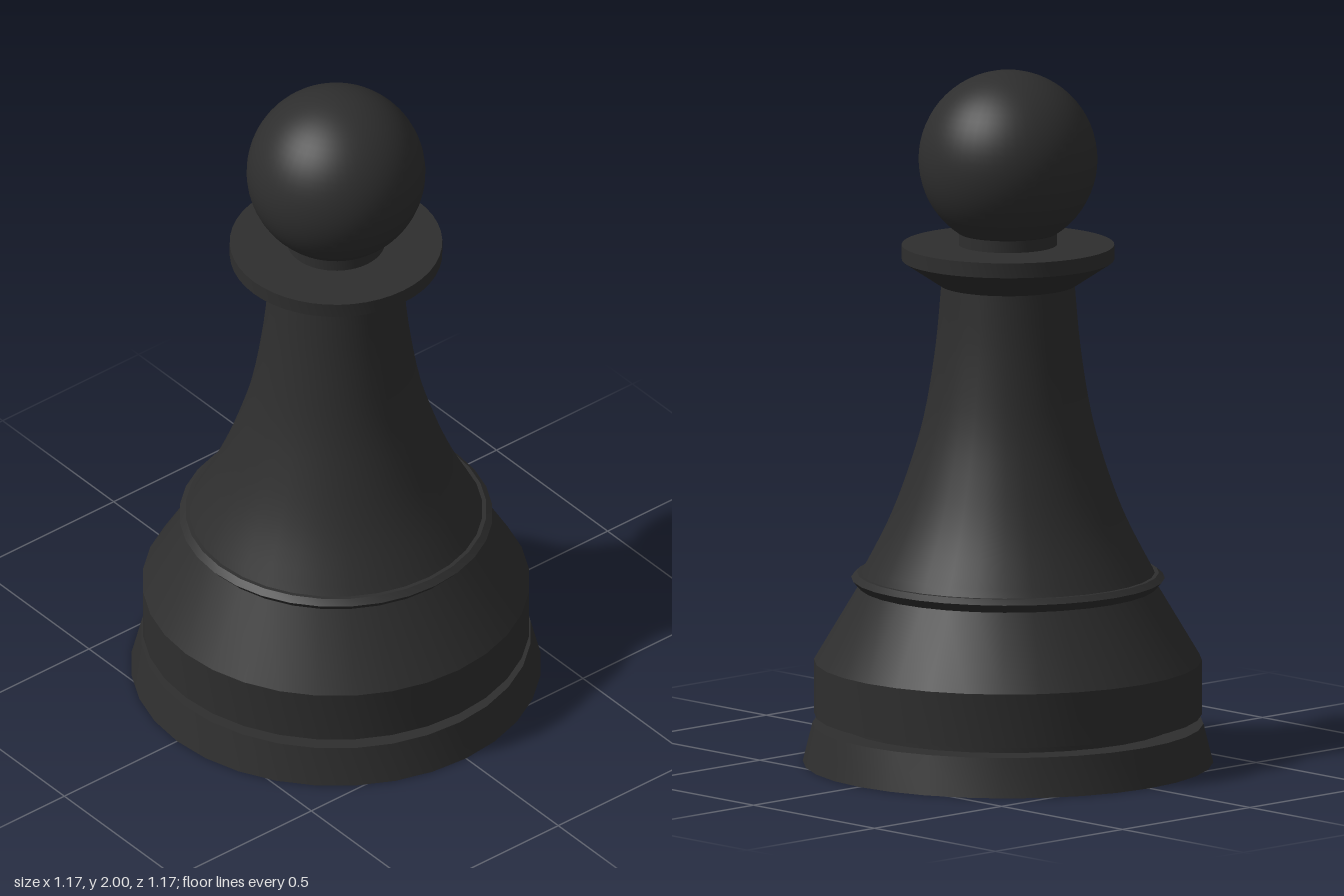
import * as THREE from 'three';
import { toCreasedNormals } from 'three/addons/utils/BufferGeometryUtils.js';

export function createModel() {
  const model = new THREE.Group();
  model.name = 'chessPawn';

  const black = new THREE.MeshStandardMaterial({ color: 0x2e2e2e });
  black.name = 'black';

  // Turned part from [radius, height] pairs, listed bottom to top
  function turned(name, profile, segments) {
    const points = profile.map(([r, y]) => new THREE.Vector2(r, y));
    const geometry = toCreasedNormals(new THREE.LatheGeometry(points, segments), 0.4);
    const mesh = new THREE.Mesh(geometry, black);
    mesh.name = name;
    model.add(mesh);
  }

  // Flared foot with a recess underneath
  turned('foot', [[0, 0.12], [0.32, 0.12], [0.34, 0], [0.585, 0], [0.557, 0.112], [0.47, 0.112]], 32);

  // Groove between foot and base
  turned('groove', [[0.478, 0.11], [0.478, 0.142]], 32);

  // Drum and sloping shoulder
  turned('base', [[0.47, 0.14], [0.553, 0.14], [0.553, 0.295], [0.425, 0.51]], 32);

  // Thin sharp ring around the waist
  turned('waistRing', [[0.425, 0.508], [0.447, 0.533], [0.43, 0.548], [0.4, 0.548]], 32);

  // Concave stem
  const stemCurve = new THREE.SplineCurve(
    [[0.42, 0.545], [0.345, 0.69], [0.29, 0.83], [0.24, 1.0], [0.207, 1.2], [0.19, 1.385]]
      .map(([r, y]) => new THREE.Vector2(r, y)));
  turned('stem', stemCurve.getPoints(20).map((p) => [p.x, p.y]), 32);

  // Collar and short neck
  turned('collar', [[0.18, 1.383], [0.195, 1.383], [0.303, 1.455], [0.303, 1.498], [0.13, 1.498]], 48);
  turned('neck', [[0.14, 1.496], [0.14, 1.55]], 48);

  // Ball head
  const head = new THREE.Mesh(new THREE.SphereGeometry(0.255, 48, 32), black);
  head.name = 'head';
  head.position.y = 1.745;
  model.add(head);

  return model;
}
